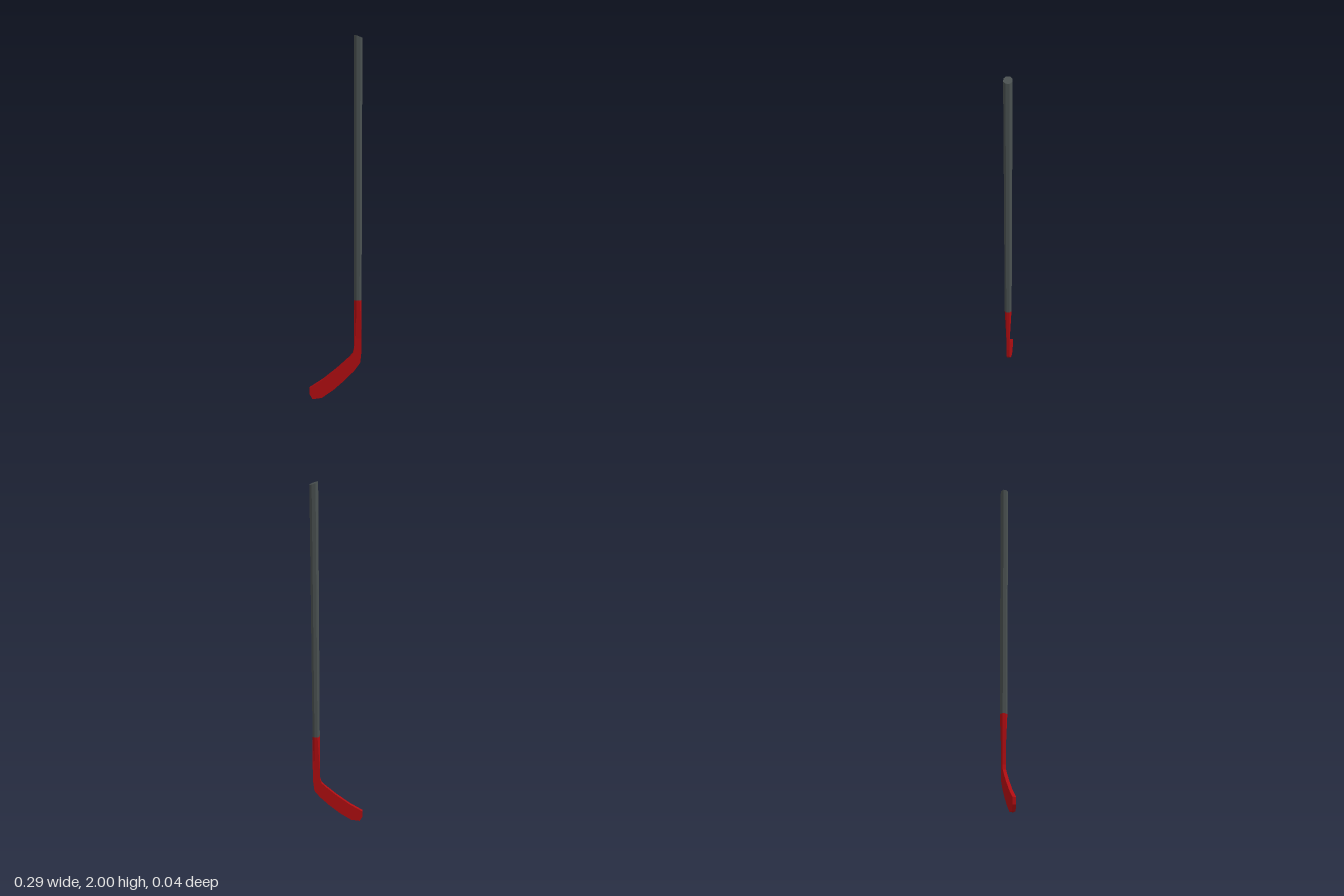
import * as THREE from 'three';

const EDGE = 0.009; // half width of the narrow side faces

// Faceted loft through chamfered sections: [leftX, leftY, rightX, rightY, halfThickness, chamfer]
function loft(stations, material, name) {
  const rings = stations.map(([lx, ly, rx, ry, t, c]) => {
    const k = c / Math.hypot(rx - lx, ry - ly);
    const at = (u, z) => [lx + (rx - lx) * u, ly + (ry - ly) * u, z];
    return [
      at(0, -EDGE), at(k, -t), at(1 - k, -t), at(1, -EDGE),
      at(1, EDGE), at(1 - k, t), at(k, t), at(0, EDGE),
    ];
  });
  const positions = [];
  const tri = (a, b, c) => positions.push(...a, ...b, ...c);
  for (let i = 0; i < rings.length - 1; i++) {
    for (let j = 0; j < 8; j++) {
      const n = (j + 1) % 8;
      const [a, a1, b, b1] = [rings[i][j], rings[i][n], rings[i + 1][j], rings[i + 1][n]];
      tri(a, a1, b);
      tri(a1, b1, b);
    }
  }
  // End caps
  const first = rings[0], last = rings[rings.length - 1];
  for (let j = 1; j < 7; j++) {
    tri(first[0], first[j + 1], first[j]);
    tri(last[0], last[j], last[j + 1]);
  }
  const geometry = new THREE.BufferGeometry();
  geometry.setAttribute('position', new THREE.Float32BufferAttribute(positions, 3));
  geometry.computeVertexNormals();
  const mesh = new THREE.Mesh(geometry, material);
  mesh.name = name;
  return mesh;
}

export function createModel() {
  const grey = new THREE.MeshStandardMaterial({ color: 0x4a5151 });
  grey.name = 'shaft grey';
  const red = new THREE.MeshStandardMaterial({ color: 0xb00d11 });
  red.name = 'blade red';

  const group = new THREE.Group();
  group.name = 'hockeyStick';

  // Octagonal shaft, leaning slightly, with a slanted top
  group.add(loft([
    [0.098, 2.0, 0.141, 1.985, 0.021, 0.0125],
    [0.104, 0.57, 0.144, 0.57, 0.019, 0.0115],
  ], grey, 'shaft'));

  // Hosel tapering to a thin, curved blade
  group.add(loft([
    [0.104, 0.57, 0.144, 0.57, 0.019, 0.0115],
    [0.105, 0.35, 0.146, 0.35, EDGE, 0.008],
    [0.104, 0.29, 0.145, 0.27, EDGE, 0.008],
    [0.097, 0.263, 0.138, 0.208, EDGE, 0.008],
    [0.077, 0.24, 0.107, 0.165, EDGE, 0.008],
    [0.008, 0.177, 0.055, 0.112, EDGE, 0.008],
    [-0.071, 0.114, -0.01, 0.054, EDGE, 0.008],
    [-0.146, 0.066, -0.077, 0.007, EDGE, 0.008],
    [-0.146, 0.03, -0.13, 0, EDGE, 0.008],
  ], red, 'blade'));

  return group;
}
